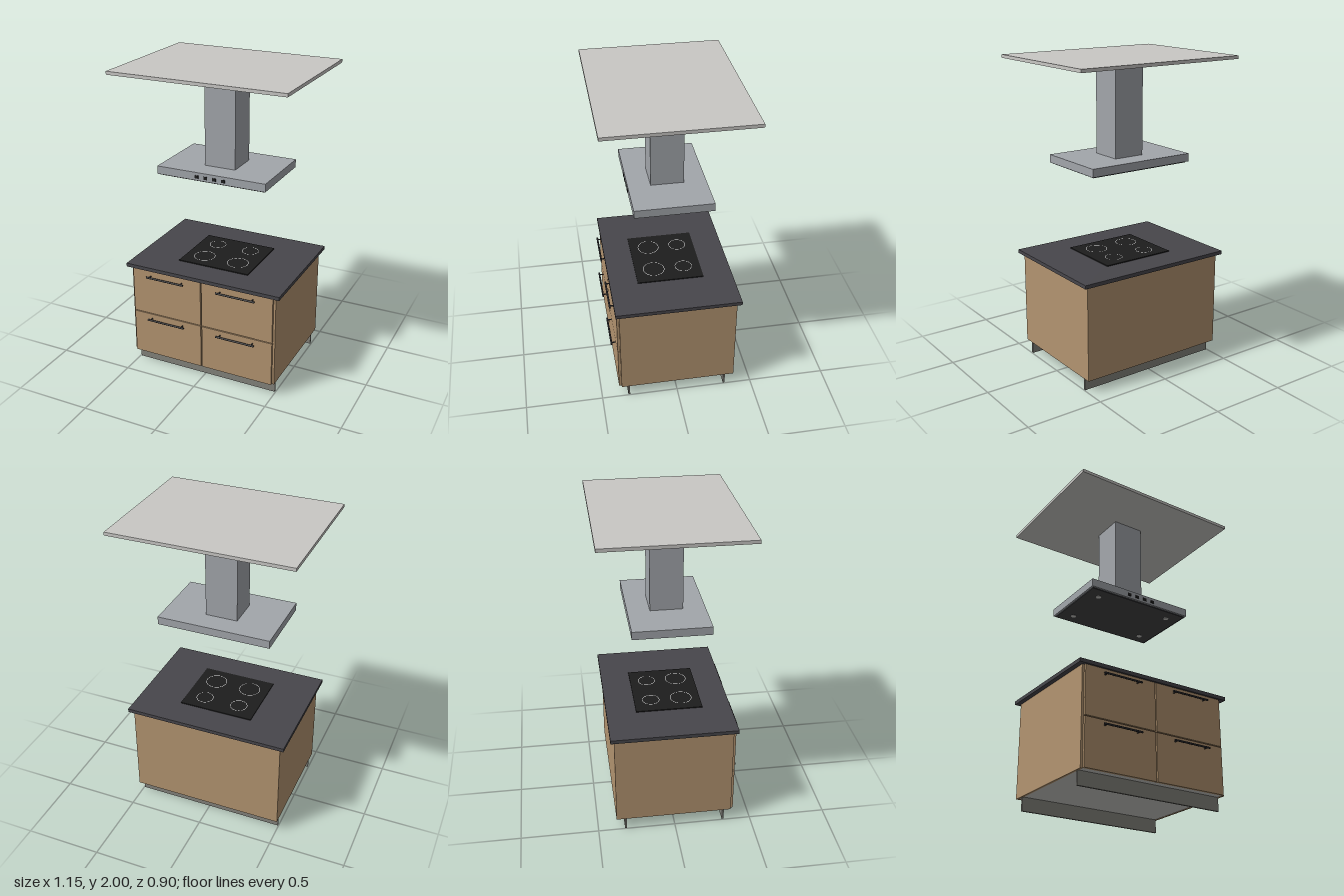
import * as THREE from 'three';

const mat = (name, color) => {
  const m = new THREE.MeshStandardMaterial({ color });
  m.name = name;
  return m;
};

export function createModel() {
  const wood = mat('wood', 0xb39470);
  const steel = mat('brushed steel', 0xa2a6ab);
  const plaster = mat('pale grey', 0xc9c8c5);
  const stone = mat('dark worktop', 0x47464b);
  const glass = mat('black glass', 0x1d1d1d);
  const plinth = mat('plinth grey', 0x83827b);
  const dark = mat('dark metal', 0x2d2d31);
  const mesh = mat('filter grey', 0x424244);
  const white = mat('white', 0xf0f0f0);

  const root = new THREE.Group();
  root.name = 'kitchenIsland';

  const add = (name, geo, material, x = 0, y = 0, z = 0) => {
    const m = new THREE.Mesh(geo, material);
    m.name = name;
    m.position.set(x, y, z);
    root.add(m);
    return m;
  };
  // Box given by its limits on each axis
  const box = (name, material, x0, x1, y0, y1, z0, z1) =>
    add(name, new THREE.BoxGeometry(x1 - x0, y1 - y0, z1 - z0), material,
      (x0 + x1) / 2, (y0 + y1) / 2, (z0 + z1) / 2);

  // Cabinet
  box('carcass', wood, -0.49, 0.49, 0.092, 0.705, -0.37, 0.368);
  box('cabinetBottom', plaster, -0.49, 0.49, 0.087, 0.092, -0.37, 0.368);
  box('backPanel', wood, -0.49, 0.49, 0.085, 0.705, -0.381, -0.37);
  for (const s of [-1, 1]) {
    const a = s * 0.49, b = s * 0.505;
    box('sidePanel', wood, Math.min(a, b), Math.max(a, b), 0.085, 0.705, -0.381, 0.37);
    box('plinthBoard', plinth, -0.495, 0.495, 0, 0.087, s * 0.321 - 0.006, s * 0.321 + 0.006);
  }

  // Drawer fronts with bar handles
  for (const s of [-1, 1]) {
    for (const [y0, y1, hy] of [[0.087, 0.387, 0.355], [0.393, 0.703, 0.667]]) {
      const cx = s * 0.2475;
      box('drawerFront', wood, cx - 0.2435, cx + 0.2435, y0, y1, 0.368, 0.386);
      const bar = add('handleBar', new THREE.CylinderGeometry(0.006, 0.006, 0.264, 12), dark, cx, hy, 0.413);
      bar.rotation.z = Math.PI / 2;
      for (const e of [-1, 1]) {
        const post = add('handlePost', new THREE.CylinderGeometry(0.004, 0.004, 0.027, 10), dark,
          cx + e * 0.112, hy, 0.3985);
        post.rotation.x = Math.PI / 2;
      }
    }
  }

  // Worktop and hob
  box('worktop', stone, -0.535, 0.535, 0.705, 0.729, -0.405, 0.395);
  box('hob', glass, -0.245, 0.245, 0.729, 0.735, -0.215, 0.215);
  for (const x of [-0.12, 0.12]) {
    for (const [z, r] of [[-0.105, 0.056], [0.092, 0.07]]) {
      const ring = add('burnerRing', new THREE.RingGeometry(r - 0.003, r, 48), white, x, 0.7362, z);
      ring.rotation.x = -Math.PI / 2;
    }
  }

  // Extractor hood hanging from the ceiling panel
  box('ceilingPanel', plaster, -0.575, 0.575, 1.979, 2, -0.45, 0.45);
  box('chimney', steel, -0.104, 0.104, 1.375, 1.979, -0.104, 0.104);
  box('hoodCanopy', steel, -0.368, 0.368, 1.324, 1.376, -0.245, 0.245);
  box('filterPlate', mesh, -0.355, 0.355, 1.317, 1.324, -0.232, 0.232);
  for (const x of [-0.265, 0.265]) {
    for (const z of [-0.155, 0.155]) {
      add('hoodLight', new THREE.CylinderGeometry(0.017, 0.017, 0.004, 24), plaster, x, 1.316, z);
    }
  }
  for (const x of [-0.09, -0.03, 0.03, 0.09]) {
    box('hoodButton', glass, x - 0.012, x + 0.012, 1.338, 1.357, 0.245, 0.249);
  }

  return root;
}
